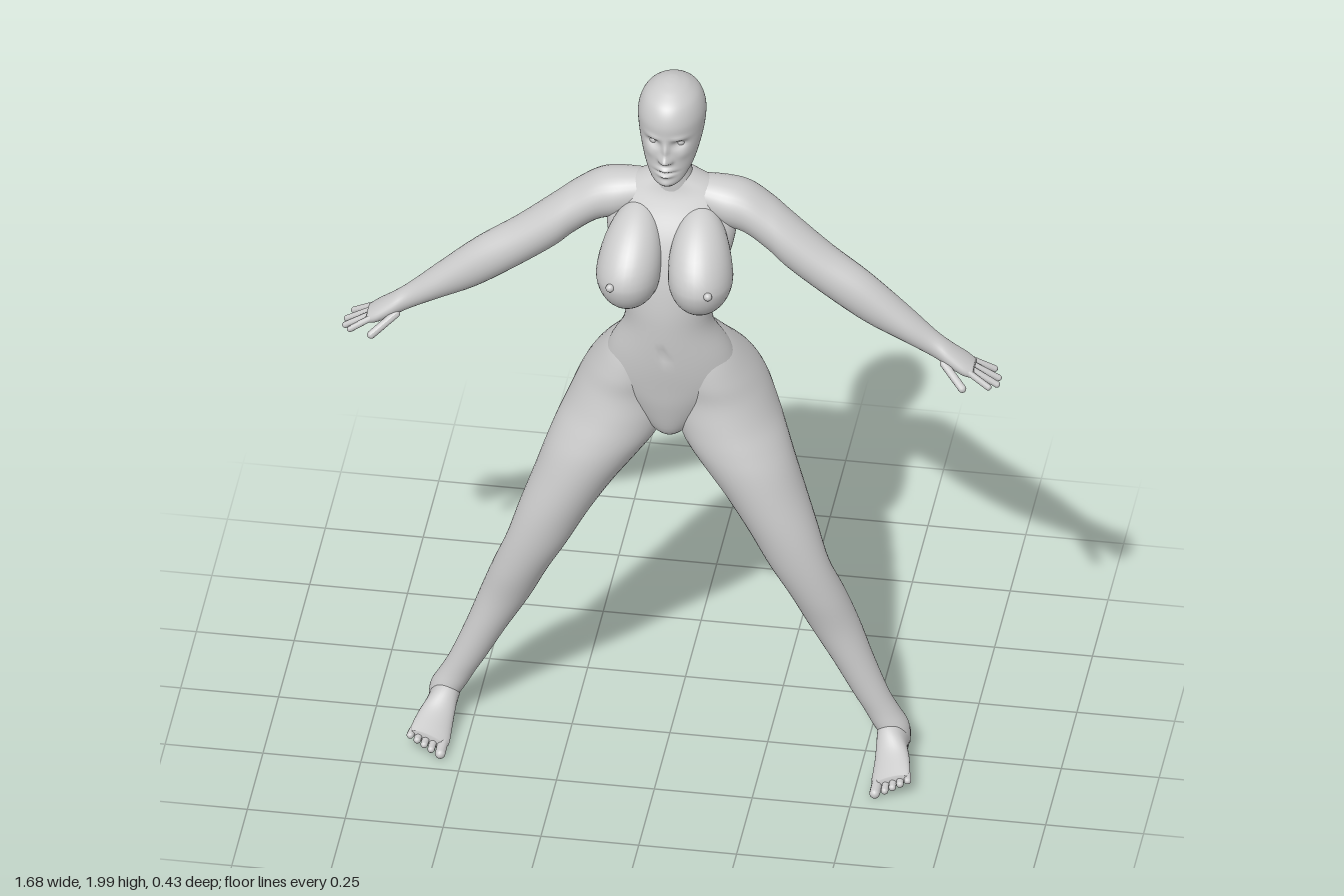
import * as THREE from 'three';

const material = new THREE.MeshStandardMaterial({ color: 0xcccccc });
const X = 0, Y = 1, Z = 2;

// Smooth loft along an axis. Rows: [position, u0, u1, v0, v1], where u and v are
// the next two axes in x-y-z-x order; each row is the box around an oval section.
function loft(axis, rows, segs = 32, steps = 5) {
  const mix = (i, f, k) => {
    const at = (j) => rows[Math.max(0, Math.min(rows.length - 1, j))][k];
    const [a, b, c, d] = [at(i - 1), at(i), at(i + 1), at(i + 2)];
    return b + 0.5 * f * (c - a + f * (2 * a - 5 * b + 4 * c - d + f * (3 * (b - c) + d - a)));
  };
  const rings = [];
  for (let i = 0; i < rows.length - 1; i++)
    for (let s = 0; s < steps; s++) rings.push([0, 1, 2, 3, 4].map((k) => mix(i, s / steps, k)));
  rings.push(rows[rows.length - 1]);
  // closed ends: a point ring at each end
  const point = ([t, a, b, c, d]) => [t, (a + b) / 2, (a + b) / 2, (c + d) / 2, (c + d) / 2];
  rings.unshift(point(rings[0]));
  rings.push(point(rings[rings.length - 1]));

  const pos = [], index = [];
  rings.forEach(([t, u0, u1, v0, v1], i) => {
    for (let j = 0; j < segs; j++) {
      const a = (j / segs) * Math.PI * 2, p = [];
      p[axis] = t;
      p[(axis + 1) % 3] = (u0 + u1) / 2 + ((u1 - u0) / 2) * Math.cos(a);
      p[(axis + 2) % 3] = (v0 + v1) / 2 + ((v1 - v0) / 2) * Math.sin(a);
      pos.push(...p);
      if (i === rings.length - 1) continue;
      const k = (j + 1) % segs, A = i * segs + j, B = i * segs + k;
      index.push(A, B, A + segs, B, B + segs, A + segs);
    }
  });
  const g = new THREE.BufferGeometry();
  g.setAttribute('position', new THREE.Float32BufferAttribute(pos, 3));
  g.setIndex(index);
  g.computeVertexNormals();
  return g;
}

// Rows of [y, back z, front z, half width] made symmetric about x = 0
const symmetric = (rows) => rows.map(([y, b, f, w]) => [y, b, f, -w, w]);

// Soft bumps along z on forward-facing vertices: [x, y, depth, x spread, y spread]
function sculpt(g, bumps, zMin) {
  const p = g.attributes.position;
  for (let i = 0; i < p.count; i++) {
    if (p.getZ(i) < zMin) continue;
    let dz = 0;
    for (const [x, y, d, sx, sy] of bumps)
      dz += d * Math.exp(-(((p.getX(i) - x) / sx) ** 2) - ((p.getY(i) - y) / sy) ** 2);
    p.setZ(i, p.getZ(i) + dz);
  }
  g.computeVertexNormals();
  return g;
}

// Rounded digit between two points
function digit(a, b, r) {
  const A = new THREE.Vector3(...a), d = new THREE.Vector3(...b).sub(A);
  const g = new THREE.CapsuleGeometry(r, d.length(), 5, 12);
  g.applyQuaternion(new THREE.Quaternion().setFromUnitVectors(new THREE.Vector3(0, 1, 0), d.clone().normalize()));
  const c = A.addScaledVector(d, 0.5);
  return g.translate(c.x, c.y, c.z);
}

function mirrored(g) {
  const m = g.clone().scale(-1, 1, 1), ix = m.index.array;
  for (let i = 0; i < ix.length; i += 3) [ix[i], ix[i + 1]] = [ix[i + 1], ix[i]];
  m.computeVertexNormals();
  return m;
}

export function createModel() {
  const group = new THREE.Group();
  const add = (name, g) => {
    const mesh = new THREE.Mesh(g, material);
    mesh.name = name;
    group.add(mesh);
  };
  const pair = (name, g) => {
    add(name + 'Left', g);
    add(name + 'Right', mirrored(g));
  };

  // Torso, with a shallow navel
  const torso = loft(Y, symmetric([
    [0.94, -0.06, 0.02, 0.025], [0.97, -0.10, 0.05, 0.06], [1.05, -0.14, 0.075, 0.13],
    [1.12, -0.15, 0.088, 0.175], [1.20, -0.125, 0.10, 0.157], [1.30, -0.075, 0.108, 0.113],
    [1.38, -0.085, 0.108, 0.12], [1.47, -0.105, 0.095, 0.145], [1.56, -0.122, 0.065, 0.165],
    [1.63, -0.123, 0.025, 0.16], [1.67, -0.115, 0.005, 0.125], [1.70, -0.10, -0.005, 0.075],
    [1.715, -0.09, -0.01, 0.05],
  ]), 64);
  add('torso', sculpt(torso, [[0, 1.235, -0.012, 0.008, 0.014]], 0.05));

  add('neck', loft(Y, symmetric([
    [1.64, -0.11, 0.0, 0.07], [1.69, -0.103, 0.003, 0.055], [1.73, -0.092, 0.003, 0.048],
    [1.77, -0.092, 0.01, 0.05], [1.83, -0.10, 0.02, 0.05],
  ])));

  // Head with sculpted face
  const face = [[0, 1.824, 0.024, 0.012, 0.011], [0, 1.85, 0.013, 0.008, 0.022],
    [0, 1.792, 0.011, 0.02, 0.006], [0, 1.775, 0.011, 0.017, 0.006], [0, 1.783, -0.006, 0.024, 0.003],
    [0, 1.748, 0.006, 0.018, 0.012]];
  for (const s of [-1, 1])
    face.push([s * 0.033, 1.864, -0.015, 0.018, 0.011], [s * 0.034, 1.884, 0.005, 0.02, 0.007],
      [s * 0.012, 1.819, 0.008, 0.006, 0.006], [s * 0.045, 1.833, 0.004, 0.016, 0.014]);
  const head = loft(Y, symmetric([
    [1.733, 0.02, 0.06, 0.02], [1.75, -0.01, 0.072, 0.04], [1.78, -0.075, 0.073, 0.06],
    [1.82, -0.115, 0.072, 0.073], [1.87, -0.142, 0.072, 0.083], [1.92, -0.146, 0.073, 0.085],
    [1.96, -0.128, 0.056, 0.072], [1.985, -0.093, 0.022, 0.047], [1.997, -0.062, -0.01, 0.02],
    [2.0, -0.04, -0.034, 0.003],
  ]), 96, 10);
  add('head', sculpt(head, face, 0));
  pair('eye', new THREE.SphereGeometry(0.013, 16, 12).translate(0.033, 1.864, 0.04));

  // Chest: full below, tapering into the collar above
  const chest = new THREE.SphereGeometry(1, 32, 24), p = chest.attributes.position;
  for (let i = 0; i < p.count; i++) {
    const x = p.getX(i), y = p.getY(i), z = p.getZ(i), up = Math.max(0, y);
    p.setXYZ(i, 0.092 + 0.082 * x - 0.012 * up, 1.485 + y * (y > 0 ? 0.155 : 0.1),
      0.085 + 0.102 * z - 0.085 * up ** 1.5);
  }
  chest.computeVertexNormals();
  pair('breast', chest);
  pair('nipple', new THREE.SphereGeometry(0.011, 12, 8).translate(0.125, 1.488, 0.179));

  // Arm from shoulder to palm
  pair('arm', loft(X, [
    [0.05, 1.60, 1.69, -0.11, -0.01], [0.13, 1.565, 1.69, -0.125, 0.01], [0.19, 1.545, 1.677, -0.13, 0.012],
    [0.25, 1.50, 1.64, -0.125, 0.015], [0.30, 1.455, 1.602, -0.115, 0.02], [0.40, 1.382, 1.522, -0.10, 0.022],
    [0.50, 1.315, 1.452, -0.085, 0.02], [0.60, 1.265, 1.362, -0.075, 0.013], [0.67, 1.227, 1.298, -0.062, 0.003],
    [0.71, 1.205, 1.266, -0.062, 0.01], [0.75, 1.184, 1.235, -0.068, 0.014], [0.775, 1.18, 1.215, -0.06, 0.008],
  ]));

  // Fingers and thumb: [base z, tip x, tip z]
  [[-0.055, 0.818, -0.074], [-0.037, 0.832, -0.048], [-0.017, 0.832, -0.019], [0.002, 0.815, 0.012]]
    .forEach(([z, tx, tz], i) =>
      pair('finger' + (i + 1), digit([0.76, 1.206, z], [tx, 1.206 - (tx - 0.76) * 0.64, tz], 0.0085)));
  pair('thumb', digit([0.70, 1.222, 0.0], [0.755, 1.187, 0.052], 0.0105));

  // Leg from buttock to ankle
  pair('leg', loft(Y, [
    [0.05, -0.035, 0.04, 0.555, 0.615], [0.10, -0.042, 0.046, 0.522, 0.611], [0.15, -0.036, 0.045, 0.496, 0.585],
    [0.20, -0.035, 0.048, 0.468, 0.56], [0.30, -0.048, 0.055, 0.413, 0.52], [0.40, -0.06, 0.065, 0.355, 0.485],
    [0.50, -0.05, 0.085, 0.308, 0.45], [0.60, -0.032, 0.10, 0.255, 0.412], [0.70, -0.06, 0.108, 0.20, 0.38],
    [0.80, -0.10, 0.11, 0.135, 0.345], [0.88, -0.125, 0.108, 0.075, 0.318], [0.94, -0.158, 0.10, 0.03, 0.295],
    [1.00, -0.20, 0.088, 0.005, 0.268], [1.07, -0.216, 0.075, 0.0, 0.238], [1.13, -0.195, 0.075, 0.0, 0.205],
    [1.20, -0.13, 0.065, 0.015, 0.157], [1.26, -0.08, 0.04, 0.03, 0.105],
  ], 40));

  // Foot and toes, tilted with the spread leg
  const place = (g) => g.rotateZ(0.42).translate(0.597, 0.024, 0);
  pair('foot', place(loft(Z, [
    [-0.048, -0.015, 0.015, 0.025, 0.055], [-0.035, -0.032, 0.03, 0.004, 0.09], [0.0, -0.037, 0.035, 0, 0.11],
    [0.05, -0.038, 0.038, 0.002, 0.10], [0.10, -0.047, 0.047, 0.002, 0.064], [0.15, -0.054, 0.052, 0, 0.04],
    [0.172, -0.05, 0.048, 0.004, 0.03],
  ])));
  for (let i = 0; i < 5; i++) {
    const x = i ? -0.034 + i * 0.0195 : -0.038, r = i ? 0.0095 : 0.0135;
    pair('toe' + (i + 1), place(digit([x, r + 0.004, 0.155], [x * 1.05, r, 0.2 - 0.006 * i], r)));
  }
  return group;
}
